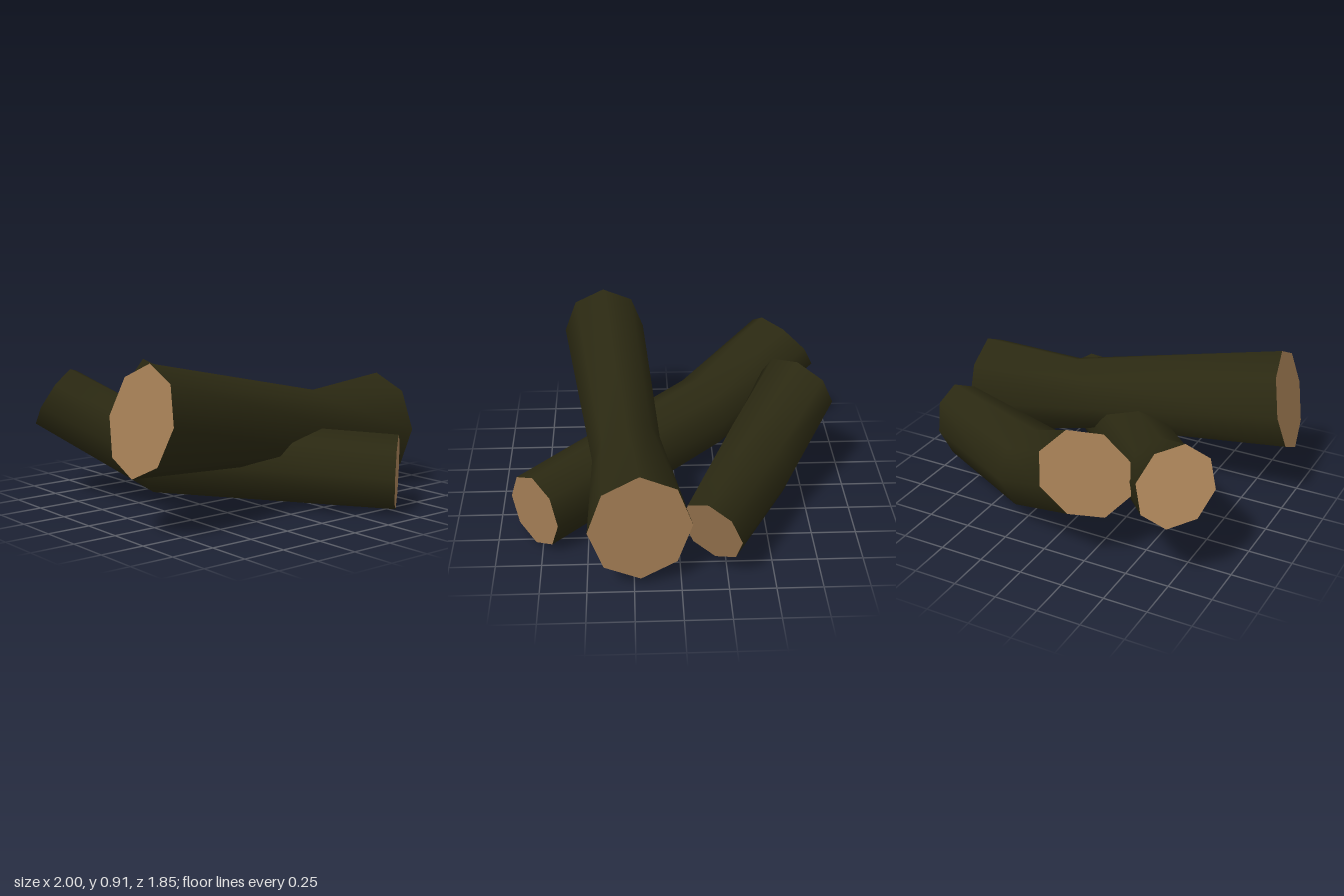
import * as THREE from 'three';

const SIDES = 8;

const bark = new THREE.MeshStandardMaterial({ color: 0x2b2912 });
bark.name = 'dark bark';
const cutWood = new THREE.MeshStandardMaterial({ color: 0xa47e55 });
cutWood.name = 'cut wood';

// Each log is three elliptical rings: centre, vector to the top corner, vector to the side corner
const logs = {
  largeLog: [
    [[-0.94, 0.62, 0.41], [0.06, 0.29, 0], [0.025, 0, 0.245]],
    [[0.27, 0.44, 0.28], [0.09, 0.2, 0], [0.12, 0, 0.19]],
    [[0.95, 0.365, 0.215], [0, 0.315, 0], [0.03, 0, 0.275]],
  ],
  crossingLog: [
    [[0.535, 0.217, 0.79], [0.005, 0.213, 0], [0.16, 0, -0.135]],
    [[-0.42, 0.29, -0.18], [0.01, 0.225, 0.02], [0.16, 0, -0.135]],
    [[-0.757, 0.59, -0.705], [0.015, 0.175, 0.135], [0.17, 0.03, -0.115]],
  ],
  backLog: [
    [[0.9, 0.305, -0.16], [0.07, 0.208, 0.025], [0.075, -0.025, -0.155]],
    [[0.18, 0.31, -0.47], [0.05, 0.225, 0.03], [0.17, -0.02, -0.17]],
    [[-0.255, 0.54, -0.735], [0.125, 0.22, 0.02], [0.165, -0.02, -0.19]],
  ],
};

function ringPoints([c, u, v]) {
  const points = [];
  for (let j = 0; j < SIDES; j++) {
    const t = (j / SIDES) * Math.PI * 2;
    for (let k = 0; k < 3; k++) points.push(c[k] + u[k] * Math.cos(t) + v[k] * Math.sin(t));
  }
  return points;
}

function buildMesh(name, positions, index, material) {
  const geometry = new THREE.BufferGeometry();
  geometry.setAttribute('position', new THREE.Float32BufferAttribute(positions, 3));
  geometry.setIndex(index);
  geometry.computeVertexNormals();
  const mesh = new THREE.Mesh(geometry, material);
  mesh.name = name;
  return mesh;
}

// Smooth bark skin joining the rings
function barkSkin(rings) {
  const index = [];
  for (let i = 0; i < rings.length - 1; i++) {
    for (let j = 0; j < SIDES; j++) {
      const a = i * SIDES + j;
      const b = i * SIDES + ((j + 1) % SIDES);
      index.push(a, b, b + SIDES, a, b + SIDES, a + SIDES);
    }
  }
  return buildMesh('bark', rings.flatMap(ringPoints), index, bark);
}

// Flat sawn face closing one end
function cutEnd(name, ring, reversed) {
  const index = [];
  for (let j = 1; j < SIDES - 1; j++) {
    index.push(0, ...(reversed ? [j + 1, j] : [j, j + 1]));
  }
  return buildMesh(name, ringPoints(ring), index, cutWood);
}

export function createModel() {
  const model = new THREE.Group();
  model.name = 'logPile';
  for (const [name, rings] of Object.entries(logs)) {
    const log = new THREE.Group();
    log.name = name;
    log.add(
      barkSkin(rings),
      cutEnd('startCut', rings[0], true),
      cutEnd('endCut', rings[rings.length - 1], false)
    );
    model.add(log);
  }
  return model;
}
